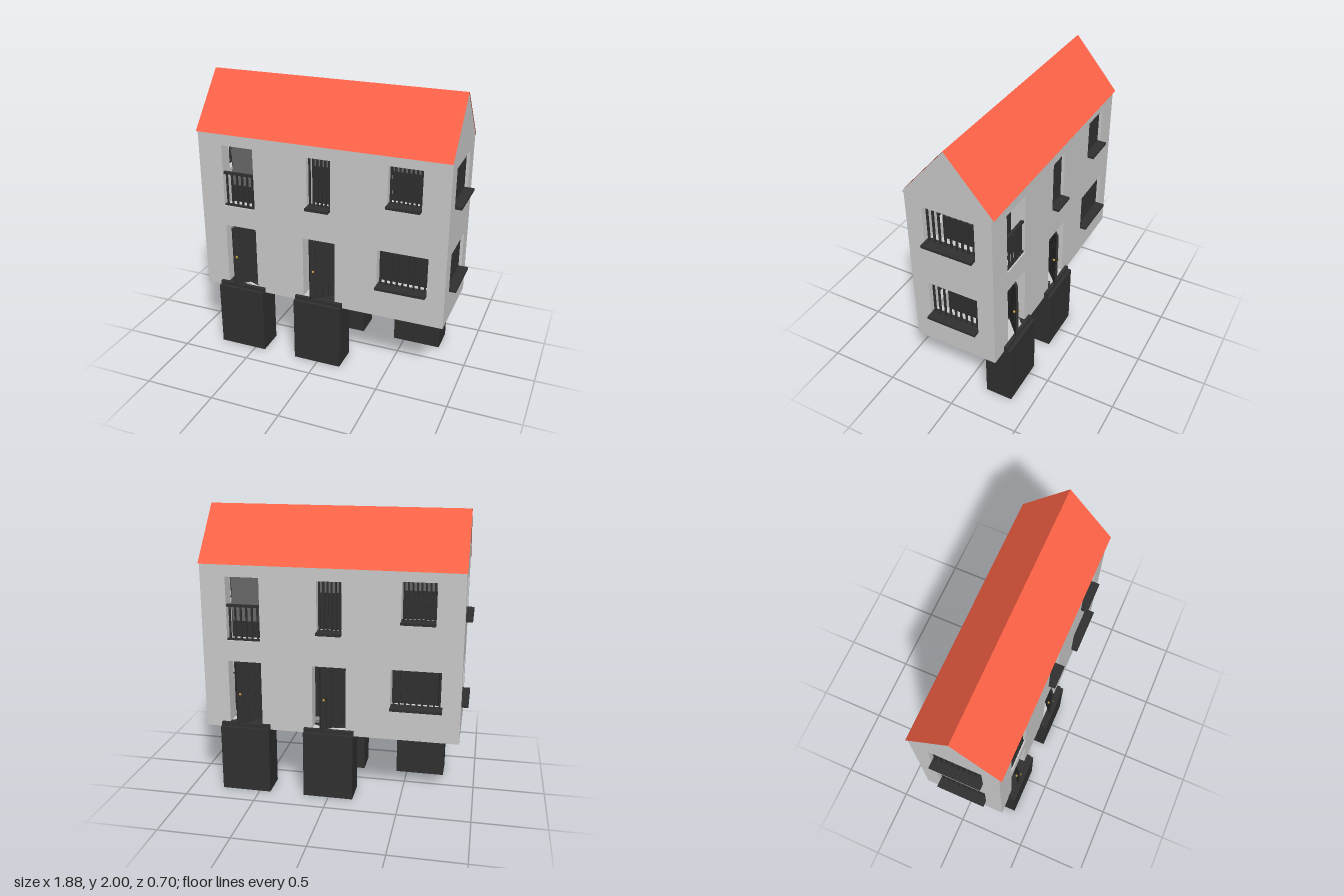
import * as THREE from 'three';

const mat = (color) => new THREE.MeshStandardMaterial({ color, side: THREE.DoubleSide });
const W = 0.892, D = 0.3, T = 0.1, BASE = 0.46, EAVE = 1.63, TOP = 2;

export function createModel() {
  const grey = mat(0xcccccc), dark = mat(0x303030), red = mat(0xff6347), brass = mat(0xc09a40), shade = mat(0x686868);
  const house = new THREE.Group();
  house.name = 'house';

  const add = (parent, name, geometry, material) => {
    const mesh = new THREE.Mesh(geometry, material);
    mesh.name = name;
    parent.add(mesh);
    return mesh;
  };
  // box given by its limits
  const block = (parent, name, x0, x1, y0, y1, z0, z1, material = dark) => {
    const m = add(parent, name, new THREE.BoxGeometry(x1 - x0, y1 - y0, z1 - z0), material);
    m.position.set((x0 + x1) / 2, (y0 + y1) / 2, (z0 + z1) / 2);
    return m;
  };

  // wall panel with rectangular openings, outer face at z = out
  const wall = (parent, half, holes, out) => {
    const s = new THREE.Shape([[-half, BASE], [half, BASE], [half, EAVE], [-half, EAVE]].map((p) => new THREE.Vector2(...p)));
    for (const [x0, x1, y0, y1] of holes) {
      s.holes.push(new THREE.Path([[x0, y0], [x0, y1], [x1, y1], [x1, y0]].map((p) => new THREE.Vector2(...p))));
    }
    const g = new THREE.ExtrudeGeometry(s, { depth: T, bevelEnabled: false });
    add(parent, 'wall', g, grey).position.z = out - T;
  };

  // row of upright bars between x0 and x1
  const bars = (parent, x0, x1, y0, y1, z, n) => {
    for (let i = 0; i < n; i++) {
      const x = x0 + ((x1 - x0) * (i + 0.5)) / n;
      block(parent, 'bar', x - 0.006, x + 0.006, y0, y1, z - 0.006, z + 0.006);
    }
  };

  // barred window with projecting sill
  const barredWindow = (parent, [x0, x1, y0, y1], out, n) => {
    bars(parent, x0, x1, y0, y1, out - 0.025, n);
    block(parent, 'windowSill', x0, x1, y0 - 0.008, y0 + 0.01, out - 0.05, out + 0.047);
  };

  // plank door standing ajar, with knobs on both sides
  const door = (parent, x0, x1, y0, y1) => {
    const leaf = new THREE.Group();
    leaf.name = 'door';
    const w = 0.225, n = 5;
    for (let i = 0; i < n; i++) {
      const a = -w + (w * i) / n;
      block(leaf, 'plank', a, a + w / n - 0.003, 0, y1 - y0, -0.008, 0.008);
    }
    block(leaf, 'doorCore', -w, 0, 0, y1 - y0, -0.005, 0.005);
    for (const s of [-1, 1]) {
      add(leaf, 'doorKnob', new THREE.SphereGeometry(0.009, 12, 8), brass).position.set(-w + 0.02, (y1 - y0) * 0.49, s * 0.014);
    }
    leaf.position.set(x1 - 0.007, y0, D - 0.12);
    leaf.rotation.y = 0.75;
    parent.add(leaf);
  };

  const doors = [[-0.715, -0.48, 0.5, 0.95], [-0.12, 0.115, 0.5, 0.95]];
  const balcony = [-0.715, -0.48, 1.1, 1.545];
  const narrow = [-0.085, 0.085, 1.187, 1.54];
  const upper = [0.48, 0.71, 1.29, 1.56];
  const lower = [0.42, 0.77, 0.69, 0.96];
  const sideWindows = [[-0.18, 0.18, 0.69, 0.96], [-0.18, 0.18, 1.29, 1.56]];

  // both halves are alike, turned half round
  for (const turn of [0, Math.PI]) {
    const half = new THREE.Group();
    half.name = turn ? 'backHalf' : 'frontHalf';
    half.rotation.y = turn;
    house.add(half);

    // long side
    wall(half, W, [...doors, balcony, narrow, upper, lower], D);
    barredWindow(half, narrow, D, 6);
    barredWindow(half, upper, D, 8);
    barredWindow(half, lower, D, 9);
    for (const d of doors) {
      door(half, ...d);
      const c = (d[0] + d[1]) / 2;
      block(half, 'doorstepBlock', c - 0.175, c + 0.175, 0, 0.475, 0.155, 0.35);
      block(half, 'doorstep', c - 0.175, c + 0.175, 0.475, 0.5, 0.2, 0.325);
    }
    // balcony railing
    const [x0, x1, y0] = balcony;
    bars(half, x0, x1, y0, 1.34, D - 0.02, 6);
    block(half, 'handrail', x0, x1, 1.335, 1.352, D - 0.03, D - 0.01);
    block(half, 'bottomRail', x0, x1, y0, y0 + 0.012, D - 0.03, D - 0.01);

    // shaded panels inside the upper openings
    for (const [a, b, y] of [[x0, x1, 1.2], [narrow[0], narrow[1], 1.43], [upper[0], upper[1], 1.47]]) {
      block(half, 'innerPanel', a - 0.01, b + 0.01, y, 1.6, 0.14, 0.145, shade);
    }

    // short side, built facing +z and turned to +x
    const end = new THREE.Group();
    end.name = 'endWall';
    end.rotation.y = Math.PI / 2;
    half.add(end);
    wall(end, D - T, sideWindows, W);
    for (const w of sideWindows) barredWindow(end, w, W, 9);
    block(end, 'innerPanel', -0.14, 0.14, 1.41, 1.6, 0.73, 0.735, shade);

    // roof slope
    const e = 0.318, x = W + 0.003;
    const slope = new THREE.BufferGeometry();
    slope.setAttribute('position', new THREE.Float32BufferAttribute(
      [-x, EAVE, e, x, EAVE, e, x, TOP, 0, -x, TOP, 0], 3));
    slope.setIndex([0, 1, 2, 0, 2, 3]);
    slope.computeVertexNormals();
    add(half, 'roofSlope', slope, red);
  }

  // gable prism under the roof
  const gable = new THREE.Shape([[-0.315, EAVE], [0.315, EAVE], [0, TOP - 0.004]].map((p) => new THREE.Vector2(...p)));
  const prism = add(house, 'gables', new THREE.ExtrudeGeometry(gable, { depth: 2 * W, bevelEnabled: false }), grey);
  prism.rotation.y = Math.PI / 2;
  prism.position.x = -W;

  // dark interior
  block(house, 'interior', -0.73, 0.73, 0.52, 1.6, -0.14, 0.14);
  return house;
}
